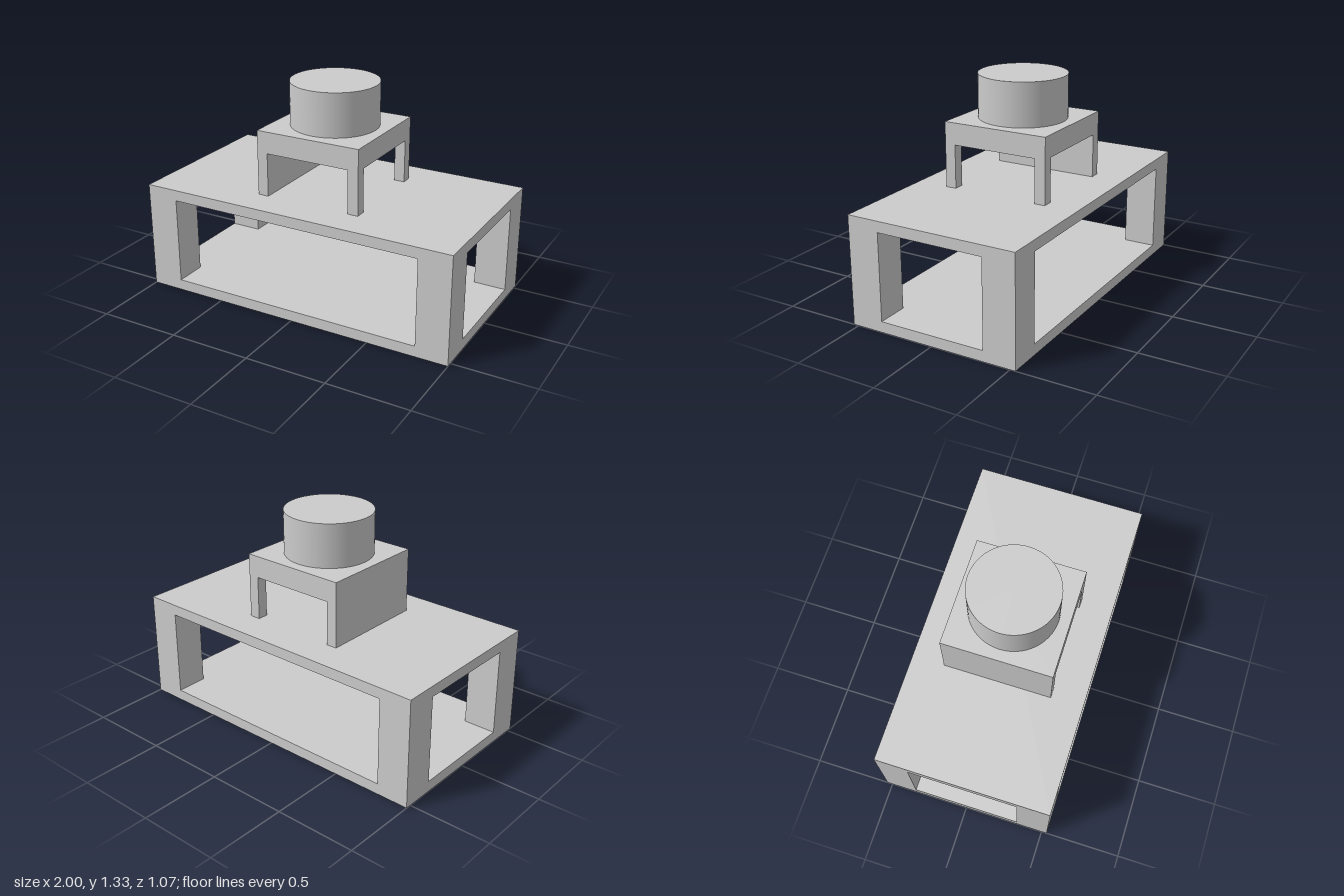
import * as THREE from 'three';

const material = new THREE.MeshStandardMaterial({ color: 0xcccccc });

// Adds a box given its lower and upper corners
function addBox(parent, name, [x0, y0, z0], [x1, y1, z1]) {
  const mesh = new THREE.Mesh(new THREE.BoxGeometry(x1 - x0, y1 - y0, z1 - z0), material);
  mesh.name = name;
  mesh.position.set((x0 + x1) / 2, (y0 + y1) / 2, (z0 + z1) / 2);
  parent.add(mesh);
}

export function createModel() {
  const model = new THREE.Group();
  model.name = 'model';

  // Open base: floor and deck joined by four corner posts
  const W = 1, D = 0.5333, floorTop = 0.0667, deckBottom = 0.6, deckTop = 0.6667, post = 0.2;
  const base = new THREE.Group();
  base.name = 'base';
  addBox(base, 'floor', [-W, 0, -D], [W, floorTop, D]);
  addBox(base, 'deck', [-W, deckBottom, -D], [W, deckTop, D]);
  for (const sx of [-1, 1]) for (const sz of [-1, 1]) {
    const cx = sx * (W - post / 2), cz = sz * (D - post / 2);
    addBox(base, 'cornerPost',
      [cx - post / 2, floorTop, cz - post / 2], [cx + post / 2, deckBottom, cz + post / 2]);
  }

  // Upper stand: top slab on a solid wall at -x and two legs at +x
  const S = 0.3333, I = 0.2667, slabBottom = 0.9333, slabTop = 1.0667;
  const stand = new THREE.Group();
  stand.name = 'stand';
  addBox(stand, 'standTop', [-S, slabBottom, -S], [S, slabTop, S]);
  addBox(stand, 'standWall', [-S, deckTop, -S], [-I, slabBottom, S]);
  addBox(stand, 'frontLeg', [I, deckTop, I], [S, slabBottom, S]);
  addBox(stand, 'backLeg', [I, deckTop, -S], [S, slabBottom, -I]);

  // Round drum on top
  const height = 0.2667;
  const drum = new THREE.Mesh(new THREE.CylinderGeometry(I, I, height, 96), material);
  drum.name = 'drum';
  drum.position.y = slabTop + height / 2;

  model.add(base, stand, drum);
  return model;
}
